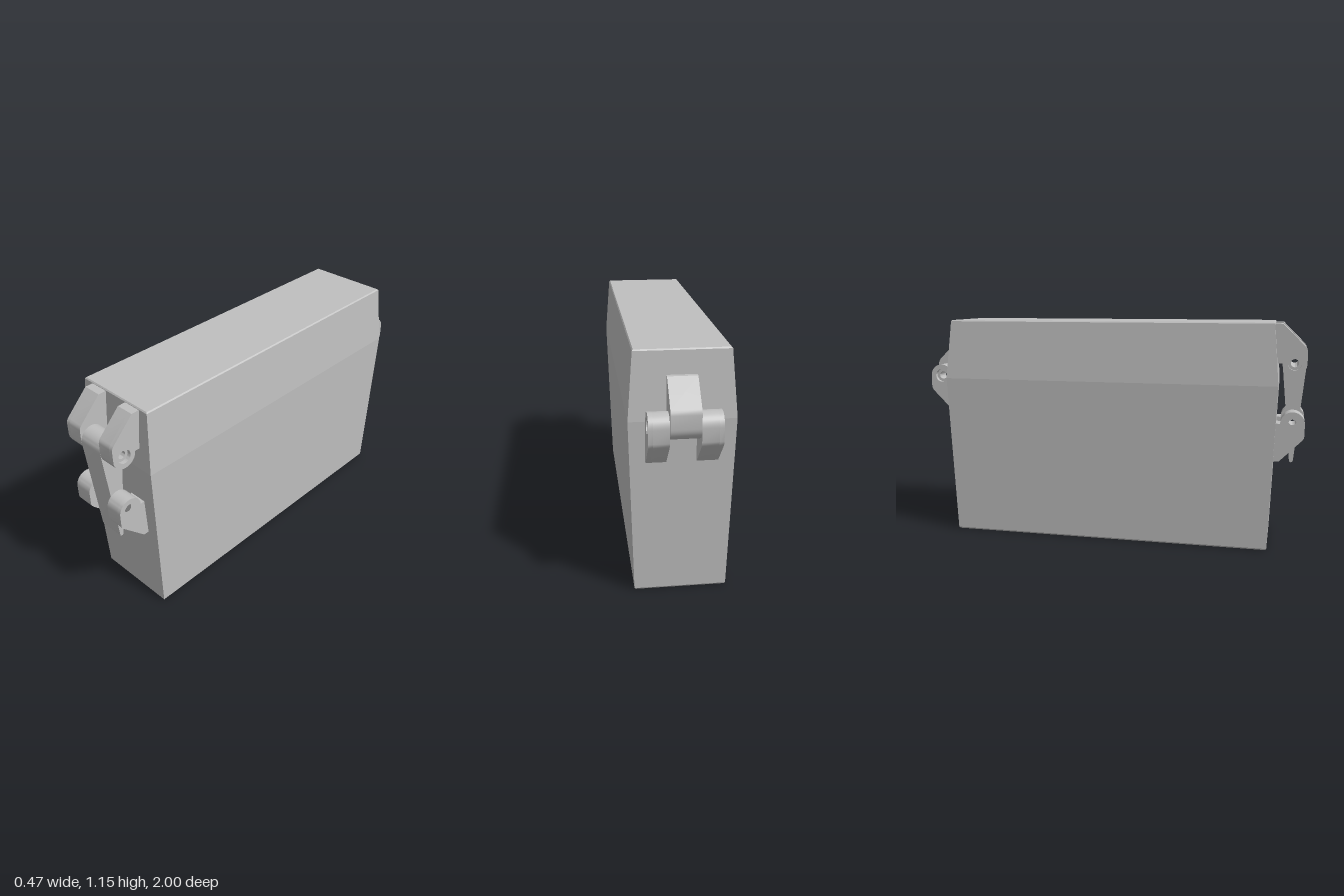
import * as THREE from 'three';
import { toCreasedNormals } from 'three/addons/utils/BufferGeometryUtils.js';

const PIN_Z = 0.94, KNUCKLE_R = 0.06, HOLE_R = 0.02, BORE_R = 0.034, BORE_DEPTH = 0.02;

// Points on an arc about (cx, cy)
function arc(cx, cy, r, from, to, steps = 20) {
  return Array.from({ length: steps + 1 }, (_, i) => {
    const t = from + (to - from) * i / steps;
    return [cx + r * Math.cos(t), cy + r * Math.sin(t)];
  });
}

// Extrudes a (z, y) outline along x, with round holes [z, y, radius]
function plate(points, holes, x0, x1, material) {
  const shape = new THREE.Shape(points.map(p => new THREE.Vector2(p[0], p[1])));
  for (const [z, y, r] of holes) {
    const hole = new THREE.Path();
    hole.absarc(z, y, r, 0, Math.PI * 2, true);
    shape.holes.push(hole);
  }
  const g = new THREE.ExtrudeGeometry(shape, { depth: x1 - x0, bevelEnabled: false, curveSegments: 24 });
  g.rotateY(-Math.PI / 2);
  g.translate(x1, 0, 0);
  return new THREE.Mesh(toCreasedNormals(g, 0.5), material);
}

// Knuckle outline: round at the pin, with a web running up (dir 1) or down (dir -1)
function knuckleOutline(side, pinY, dir) {
  const pts = [[0.835, 0], ...arc(PIN_Z, 0, KNUCKLE_R, Math.PI, 0),
    [1.0, -0.06], [0.997, -0.072], [0.99, -0.082], [0.879, -0.193], [0.835, -0.193]];
  return pts.map(([z, y]) => [z * side, pinY - y * dir]);
}

export function createModel() {
  const model = new THREE.Group();
  const grey = new THREE.MeshStandardMaterial({ color: 0xbfbfbf });
  grey.name = 'plain grey';

  // Case: tapered box, widest at the lid line, with tiny chamfers at both ends
  const levels = [[0, 0.207, 0.833], [0.008, 0.213, 0.839], [0.84, 0.237, 0.87],
    [1.142, 0.213, 0.843], [1.148, 0.208, 0.838]]; // y, half width, half length
  const box = new THREE.BoxGeometry(2, 4, 2, 1, 4, 1);
  const p = box.attributes.position;
  for (let i = 0; i < p.count; i++) {
    const [y, hx, hz] = levels[Math.round(p.getY(i) + 2)];
    p.setXYZ(i, p.getX(i) * hx, y, p.getZ(i) * hz - 0.004);
  }
  const caseGeometry = box.toNonIndexed();
  caseGeometry.computeVertexNormals();
  const body = new THREE.Mesh(caseGeometry, grey);
  body.name = 'case';
  model.add(body);

  // Outer knuckle pair, each with a counterbore on its outer face
  function knucklePair(name, side, pinY, dir) {
    const group = new THREE.Group();
    group.name = name;
    const outline = knuckleOutline(side, pinY, dir);
    const z = PIN_Z * side;
    const slices = [[-0.156, -0.156 + BORE_DEPTH, BORE_R], [-0.156 + BORE_DEPTH, -0.062, HOLE_R],
      [0.072, 0.162 - BORE_DEPTH, HOLE_R], [0.162 - BORE_DEPTH, 0.162, BORE_R]];
    for (const [x0, x1, r] of slices) group.add(plate(outline, [[z, pinY, r]], x0, x1, grey));
    model.add(group);
  }
  knucklePair('upperLatchLugs', 1, 0.947, 1);
  knucklePair('lowerLatchLugs', 1, 0.645, -1);
  knucklePair('rearHingeLugs', -1, 0.845, -1);

  // Middle hinge knuckle
  const hinge = plate(knuckleOutline(-1, 0.845, 1), [[-PIN_Z, 0.845, HOLE_R]], -0.062, 0.07, grey);
  hinge.name = 'rearHingeKnuckle';
  model.add(hinge);

  // Latch arm: round head at the upper pin, tapering to a narrow rounded tail
  const armOutline = [...arc(PIN_Z, 0.947, KNUCKLE_R, -0.1, Math.PI + 0.1),
    ...arc(PIN_Z, 0.441, 0.01, Math.PI, Math.PI * 2, 8)];
  const arm = plate(armOutline, [[PIN_Z, 0.947, HOLE_R], [PIN_Z, 0.645, HOLE_R]], -0.061, 0.071, grey);
  arm.name = 'latchArm';
  model.add(arm);
  return model;
}
